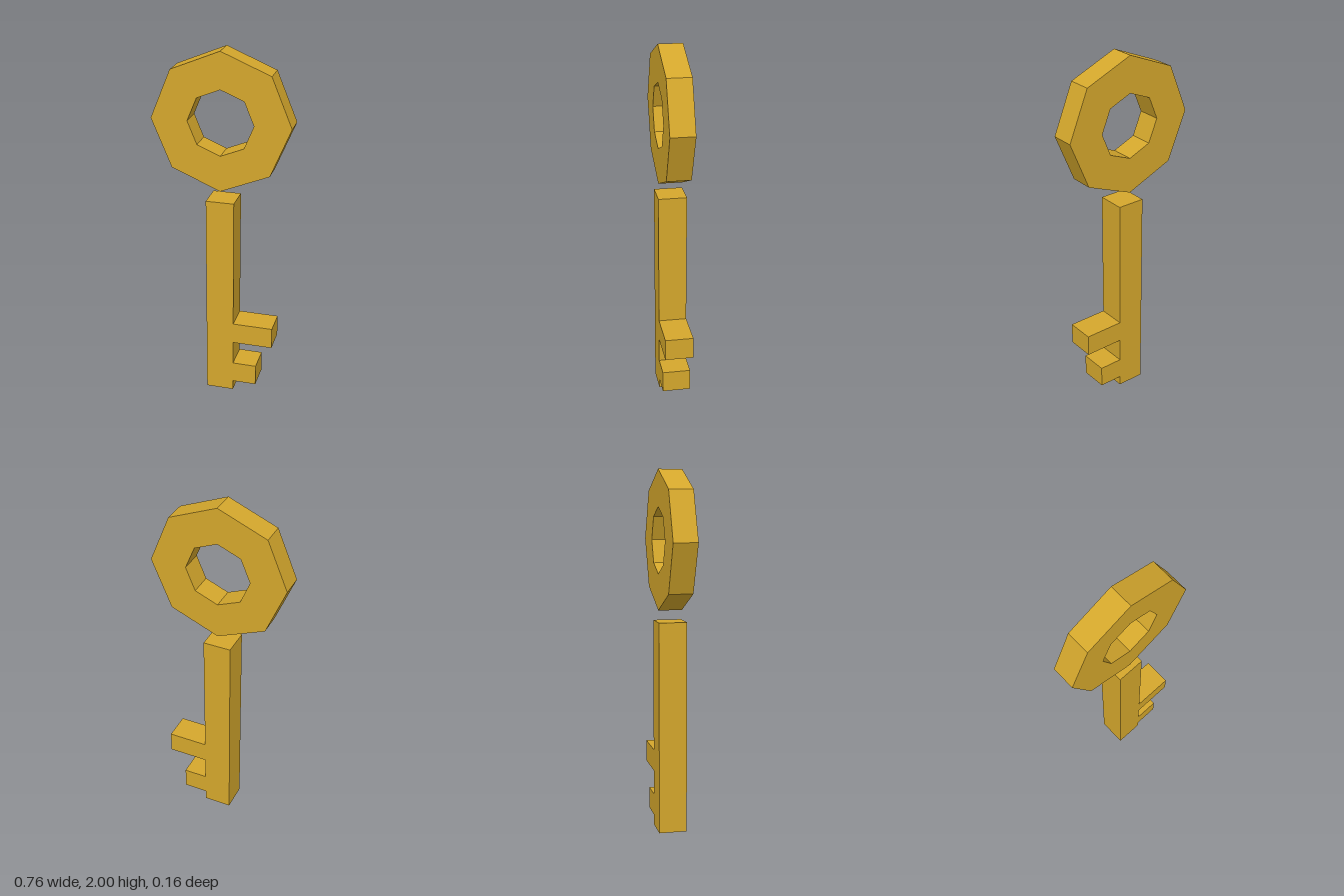
import * as THREE from 'three';

const gold = new THREE.MeshStandardMaterial({ color: 0xd4a72c, flatShading: true });
const DEPTH = 0.156; // shaft and teeth thickness
const HALF = DEPTH / 2;

// Corners of an octagon with one corner pointing straight up
function octagon(radius) {
  return Array.from({ length: 8 }, (_, i) => {
    const a = Math.PI / 2 + (i * Math.PI) / 4;
    return new THREE.Vector2(radius * Math.cos(a), radius * Math.sin(a));
  });
}

// Box given by its x and y extents, centred on z = 0
function block(name, x0, x1, y0, y1) {
  const mesh = new THREE.Mesh(new THREE.BoxGeometry(x1 - x0, y1 - y0, DEPTH), gold);
  mesh.name = name;
  mesh.position.set((x0 + x1) / 2, (y0 + y1) / 2, 0);
  return mesh;
}

export function createModel() {
  const key = new THREE.Group();
  key.name = 'key';

  // Octagonal ring handle, floating just above the shaft
  const shape = new THREE.Shape(octagon(0.38));
  shape.holes.push(new THREE.Path(octagon(0.18).reverse()));
  const ringGeometry = new THREE.ExtrudeGeometry(shape, { depth: 0.132, bevelEnabled: false });
  ringGeometry.translate(0, 0, -0.066);
  const ring = new THREE.Mesh(ringGeometry, gold);
  ring.name = 'ringHandle';
  ring.position.y = 1.62;
  key.add(ring);

  // Square shaft with two teeth on its left
  key.add(block('shaft', -HALF, HALF, 0, 1.18));
  key.add(block('upperTooth', HALF, 0.302, 0.318, 0.44));
  key.add(block('lowerTooth', HALF, 0.212, 0.058, 0.18));

  return key;
}
